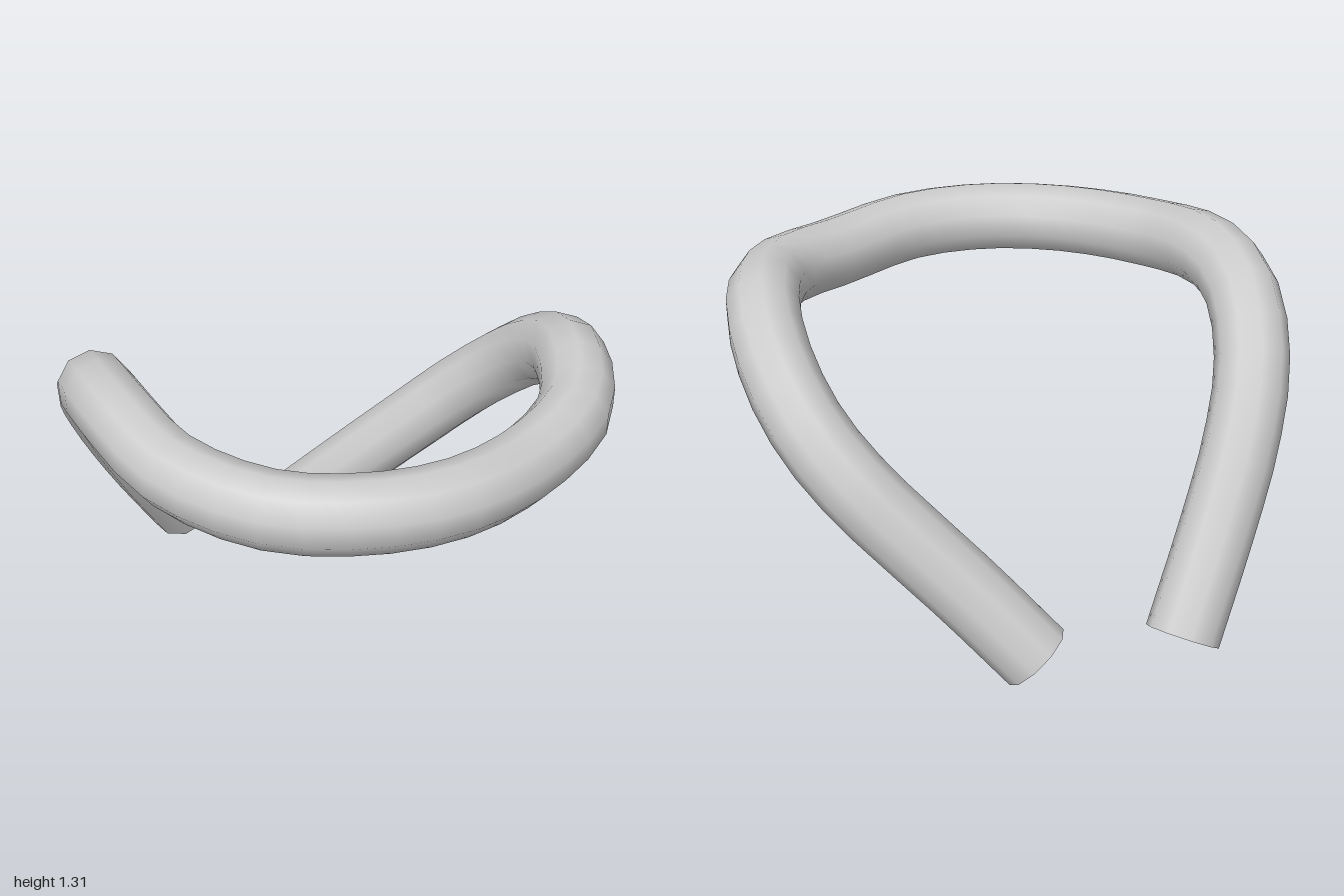
import * as THREE from 'three';

const RADIUS = 0.135, SIDES = 10, STEPS = 44;

// Centre line, from the end of the left leg round the front to the end of the right leg
const PATH = [
  [-0.035, 0.095, -0.81], [0.2, 0.335, -0.73], [0.4, 0.53, -0.67], [0.56, 0.69, -0.615],
  [0.71, 0.86, -0.51], [0.815, 1.02, -0.34], [0.865, 1.14, -0.07], [0.81, 1.12, 0.27],
  [0.595, 1.09, 0.525], [0.31, 1.1, 0.73], [0, 1.105, 0.79], [-0.31, 1.107, 0.73],
  [-0.605, 1.13, 0.51], [-0.79, 1.175, 0.18], [-0.858, 1.12, -0.08], [-0.858, 0.94, -0.29],
  [-0.8, 0.71, -0.44], [-0.7, 0.44, -0.58], [-0.56, 0.11, -0.755],
].map((p) => new THREE.Vector3(...p));

export function createModel() {
  const group = new THREE.Group();
  group.name = 'bentTube';
  const material = new THREE.MeshStandardMaterial({ color: 0xcccccc, side: THREE.DoubleSide });

  // Bent round bar
  const curve = new THREE.CatmullRomCurve3(PATH, false, 'centripetal');
  const tube = new THREE.TubeGeometry(curve, STEPS, RADIUS, SIDES, false);
  const bar = new THREE.Mesh(tube, material);
  bar.name = 'bar';
  group.add(bar);

  // Flat caps, fanned over the first and last ring of the bar
  const position = tube.attributes.position;
  const addCap = (name, ring, flip) => {
    const points = [];
    const corner = (i) => new THREE.Vector3().fromBufferAttribute(position, ring * (SIDES + 1) + i);
    for (let i = 1; i < SIDES - 1; i++) {
      const [b, c] = flip ? [i + 1, i] : [i, i + 1];
      points.push(corner(0), corner(b), corner(c));
    }
    const geometry = new THREE.BufferGeometry().setFromPoints(points);
    geometry.computeVertexNormals();
    // Turn the fan round if it faces into the bar
    const normal = new THREE.Vector3().fromBufferAttribute(geometry.attributes.normal, 0);
    const outward = curve.getTangentAt(ring / STEPS).multiplyScalar(ring ? 1 : -1);
    if (normal.dot(outward) < 0 && !flip) return addCap(name, ring, true);
    const cap = new THREE.Mesh(geometry, material);
    cap.name = name;
    group.add(cap);
  };
  addCap('leftEndCap', 0, false);
  addCap('rightEndCap', STEPS, false);

  return group;
}
